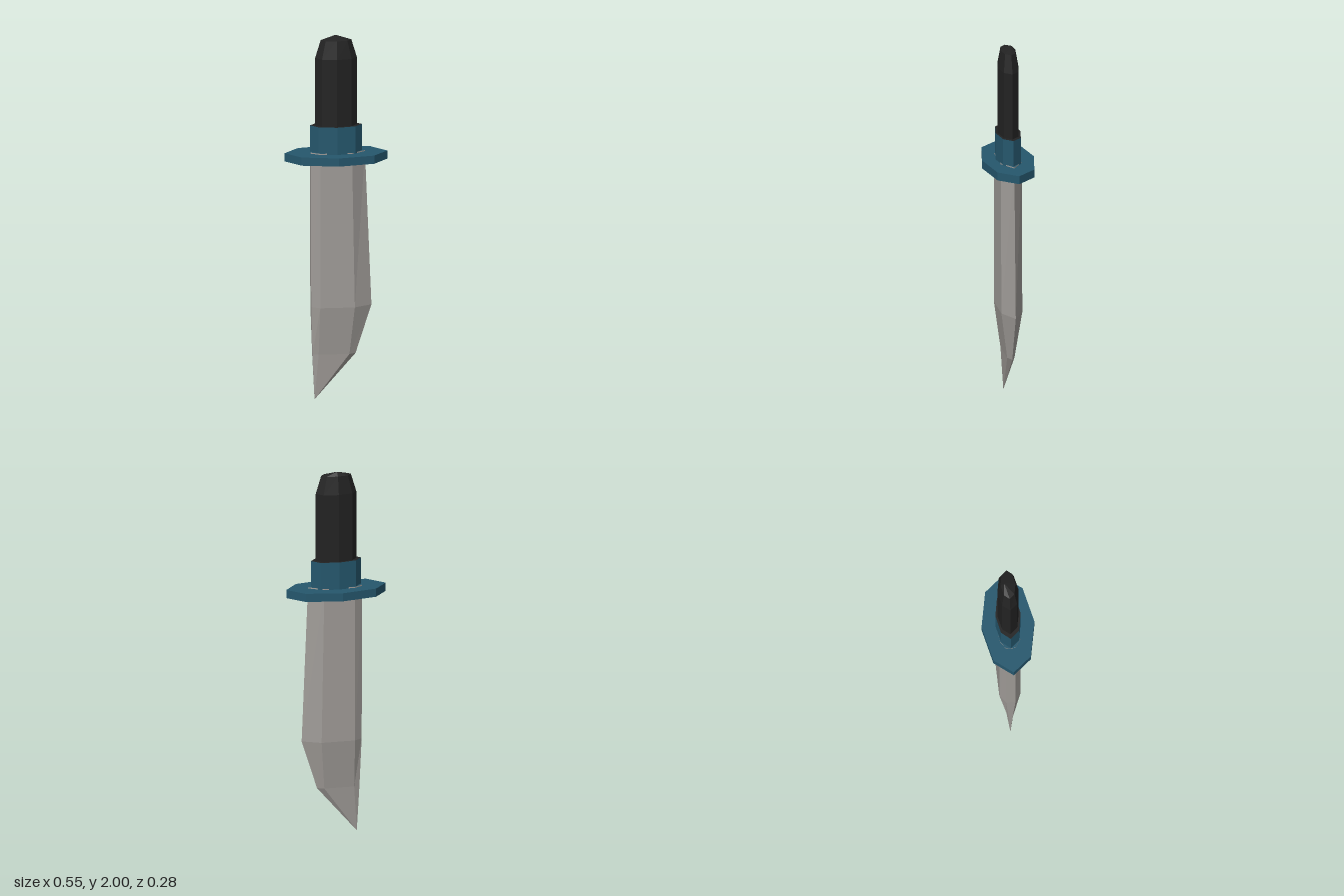
import * as THREE from 'three';

const paint = (name, color) => Object.assign(new THREE.MeshStandardMaterial({ color, flatShading: true }), { name });

// Centre of a ring of points
const centre = (ring) => ring.reduce((s, p) => s.add(new THREE.Vector3(...p)), new THREE.Vector3())
  .divideScalar(ring.length).toArray();

// Faceted skin over rings stacked upward; each end is a fan closed on a point.
// The top fan is material group 1.
function loft(rings, low = centre(rings[0]), high = centre(rings[rings.length - 1])) {
  const pos = [];
  const tri = (...pts) => pts.forEach((p) => pos.push(...p));
  const n = rings[0].length;
  const top = rings[rings.length - 1];
  for (let i = 0; i < n; i++) {
    const j = (i + 1) % n;
    tri(low, rings[0][j], rings[0][i]);
    for (let r = 0; r + 1 < rings.length; r++) {
      const a = rings[r], b = rings[r + 1];
      tri(a[i], a[j], b[j]);
      tri(a[i], b[j], b[i]);
    }
  }
  const split = pos.length / 3;
  for (let i = 0; i < n; i++) tri(high, top[i], top[(i + 1) % n]);
  const geo = new THREE.BufferGeometry();
  geo.setAttribute('position', new THREE.Float32BufferAttribute(pos, 3));
  geo.addGroup(0, split, 0);
  geo.addGroup(split, pos.length / 3 - split, 1);
  geo.computeVertexNormals();
  return geo;
}

// Stretched octagon at height y
const octagon = (y, rx, rz) => Array.from({ length: 8 }, (_, i) => {
  const a = (i * Math.PI) / 4;
  return [Math.cos(a) * rx, y, -Math.sin(a) * rz];
});

// Blade section: cutting edge at +x, flat sides, bevelled spine at -x
const bladeRing = (y, edge, ridge, shoulder, spine, z, spineZ) => [
  [edge, y, 0], [ridge, y, -z], [shoulder, y, -z], [spine, y, -spineZ],
  [spine, y, spineZ], [shoulder, y, z], [ridge, y, z],
];

export function createModel() {
  const steel = paint('steel', 0xa09c98);
  const blue = paint('blue', 0x25576d);
  const black = paint('black', 0x222222);

  const group = new THREE.Group();
  group.name = 'knife';
  const add = (name, geo, side, top = side) => {
    const mesh = new THREE.Mesh(geo, [side, top]);
    mesh.name = name;
    group.add(mesh);
  };

  // Blade, point down, its root just showing through the guard
  add('blade', loft([
    bladeRing(0.25, 0.105, 0.07, -0.095, -0.127, 0.02, 0.01),
    bladeRing(0.515, 0.19, 0.095, -0.09, -0.135, 0.057, 0.025),
    bladeRing(1.366, 0.155, 0.08, -0.09, -0.138, 0.057, 0.025),
  ], [-0.115, 0, 0]), steel, blue);

  // Guard and collar
  add('guard', loft([octagon(1.315, 0.275, 0.142), octagon(1.36, 0.275, 0.142)]), blue);
  add('collar', loft([octagon(1.36, 0.139, 0.068), octagon(1.51, 0.139, 0.068)]), blue, black);

  // Handle with a tapered pommel
  add('handle', loft([
    octagon(1.5, 0.112, 0.057),
    octagon(1.88, 0.112, 0.057),
    octagon(1.978, 0.082, 0.04),
  ], undefined, [0, 2, -0.02]), black);

  return group;
}
